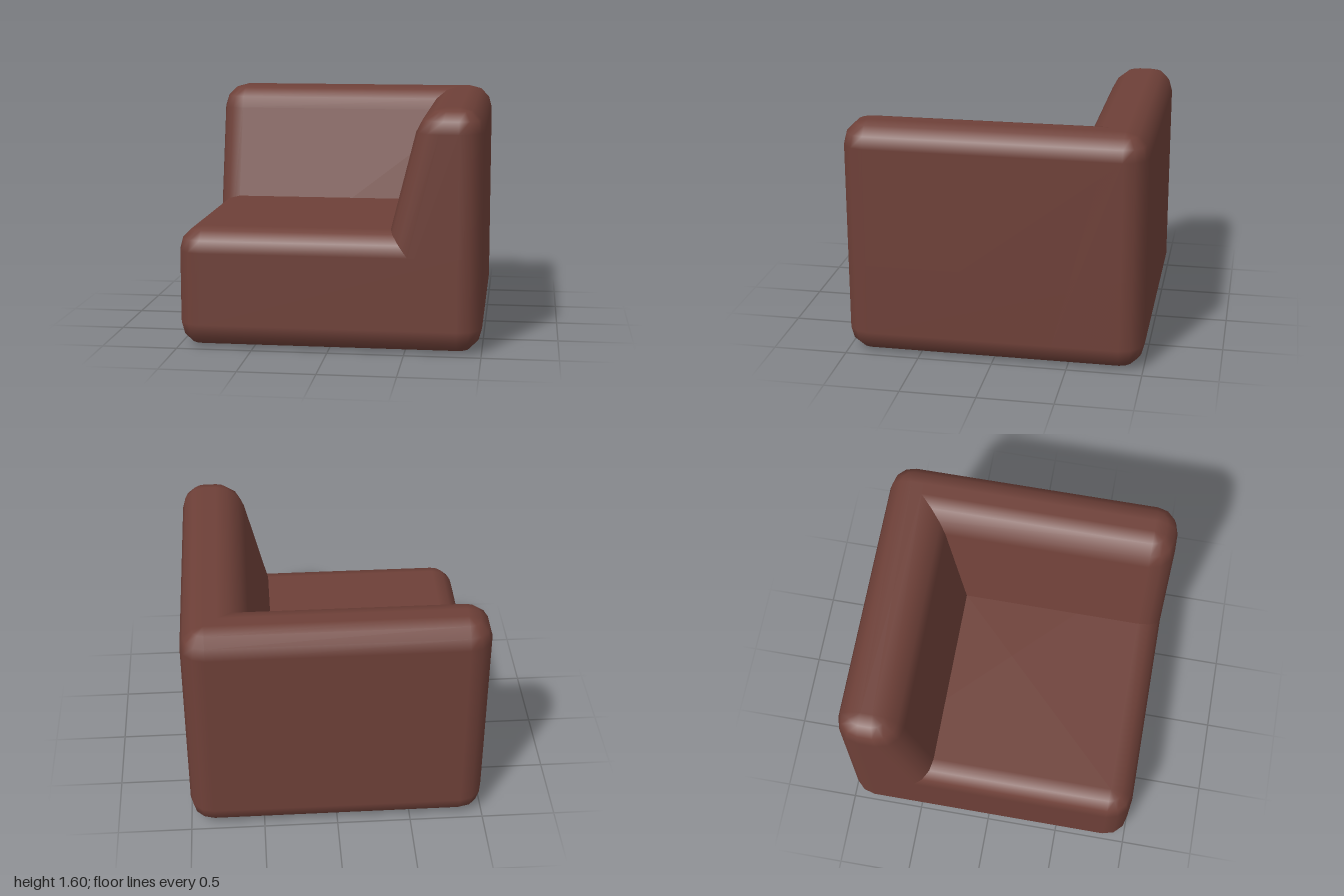
import * as THREE from 'three';

const RADIUS = 0.16;   // edge rounding
const STEPS = 3;       // facets per rounded edge
const SLOPE = 0.25;    // lean of the cushion faces

// Smooth rounded block from z = -1 to zFront (measured at y = 0.8), standing on y = 0.
// The front face leans back by `slope` per unit of height.
function roundedBlock(height, zFront, slope) {
  const per = STEPS + 1;
  const cols = per * 4;          // four corners around
  const rows = per * 2 + 1;      // cap, upper edge, lower edge, cap
  const geo = new THREE.PlaneGeometry(1, 1, cols, rows);
  const pos = geo.attributes.position;
  const nor = geo.attributes.normal;
  const n = new THREE.Vector3();
  const quarter = Math.PI / 2;

  for (let j = 0; j <= rows; j++) {
    const cap = j === 0 || j === rows;
    const k = THREE.MathUtils.clamp(j - 1, 0, per * 2 - 1);
    const lower = k >= per;
    const polar = quarter * ((lower ? 1 : 0) + (k % per) / STEPS);
    for (let i = 0; i <= cols; i++) {
      const corner = Math.floor(i / per) % 4;
      const around = quarter * (corner + (i % per) / STEPS);
      n.set(Math.sin(polar) * Math.sin(around), Math.cos(polar), Math.sin(polar) * Math.cos(around));
      const sx = corner < 2 ? 1 : -1;
      const front = corner === 0 || corner === 3;

      const x = sx * (1 - RADIUS) + RADIUS * n.x;
      const y = (lower ? RADIUS : height - RADIUS) + RADIUS * n.y;
      let z = (front ? zFront - RADIUS : -1 + RADIUS) + RADIUS * n.z;
      if (front) {
        z -= slope * (y - 0.8);
        n.y += slope * n.z;
        n.normalize();
      }
      const id = j * (cols + 1) + i;
      // the caps close to one point in the middle of the top and bottom
      if (cap) pos.setXYZ(id, 0, y, (zFront - 1 - slope * (y - 0.8)) / 2);
      else pos.setXYZ(id, x, y, z);
      nor.setXYZ(id, n.x, n.y, n.z);
    }
  }
  return geo;
}

export function createModel() {
  const model = new THREE.Group();
  model.name = 'cornerSofaSeat';
  const leather = new THREE.MeshStandardMaterial({ name: 'brown leather', color: 0x6e4038 });

  const add = (name, geometry, turn = 0) => {
    const mesh = new THREE.Mesh(geometry, leather);
    mesh.name = name;
    mesh.rotation.y = turn;
    model.add(mesh);
  };

  // Full-width seat base
  add('seat', roundedBlock(0.8, 1, 0));

  // Rear backrest, and the same block turned to make the left one
  const backrest = roundedBlock(1.6, -0.4, SLOPE);
  add('rearBackrest', backrest);
  add('leftBackrest', backrest, -Math.PI / 2);

  return model;
}
